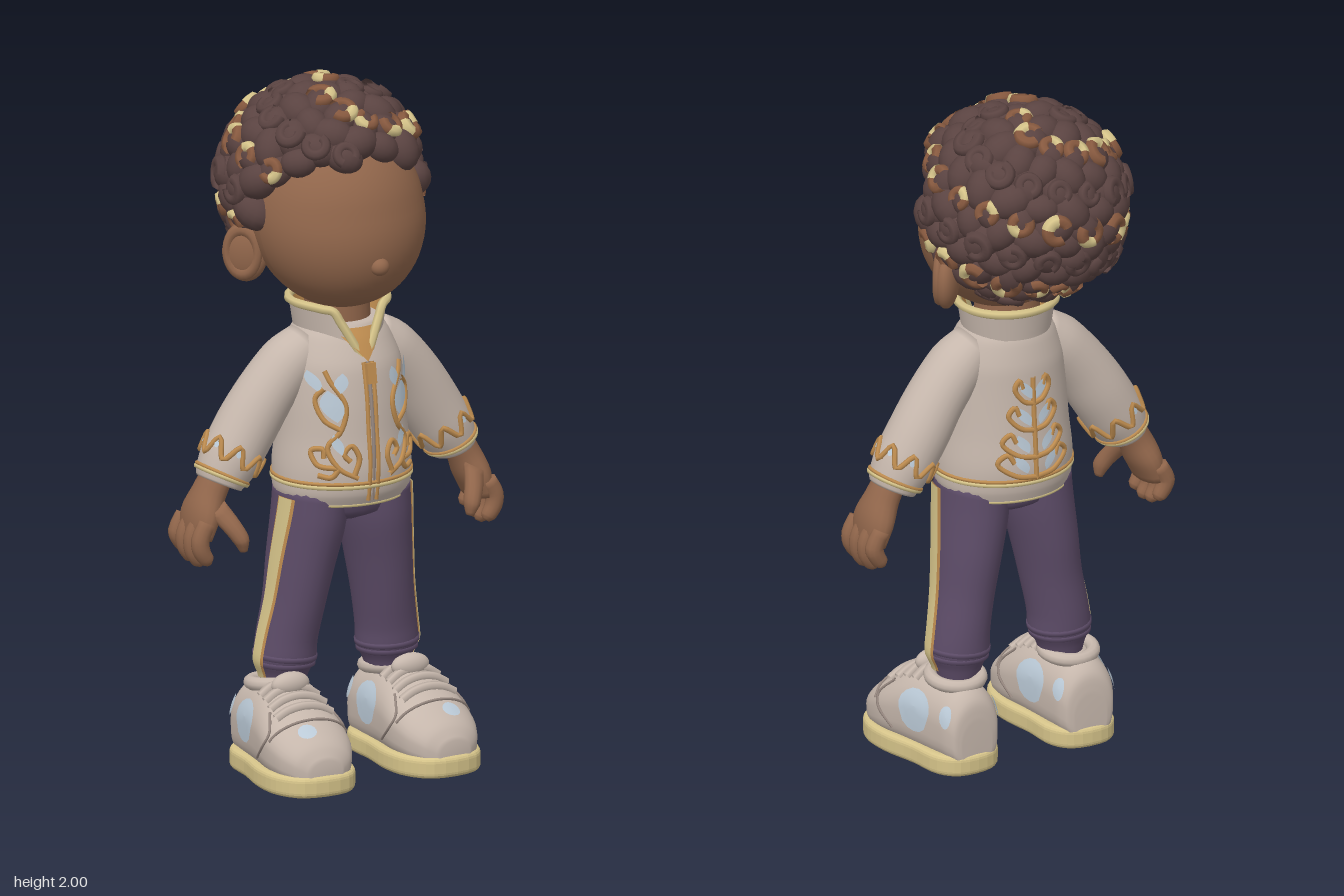
import * as THREE from 'three';
import { mergeGeometries } from 'three/addons/utils/BufferGeometryUtils.js';

const V = (x, y, z) => new THREE.Vector3(x, y, z);
const mat = (name, color) => new THREE.MeshStandardMaterial({ name, color, side: THREE.DoubleSide });

// Grid surface from f(u, v); u wraps round when closed
function grid(f, nu, nv, closed) {
  const pos = [], idx = [], cols = closed ? nu : nu + 1;
  for (let j = 0; j <= nv; j++) for (let i = 0; i < cols; i++) pos.push(...f(i / nu, j / nv, j).toArray());
  for (let j = 0; j < nv; j++) for (let i = 0; i < nu; i++) {
    const a = j * cols + i, b = j * cols + (i + 1) % cols;
    idx.push(a, a + cols, b, b, a + cols, b + cols);
  }
  const g = new THREE.BufferGeometry();
  g.setAttribute('position', new THREE.Float32BufferAttribute(pos, 3));
  g.setIndex(idx);
  g.computeVertexNormals();
  return g;
}
// Limb surface through rings [x, y, z, radius across, radius in z].
// With an axis the sections stay upright to it and their first half is squared off.
function limb(rings, axis) {
  const path = new THREE.CatmullRomCurve3(rings.map(r => V(r[0], r[1], r[2])));
  const rad = new THREE.CatmullRomCurve3(rings.map(r => V(r[3], r[4], 0)));
  return (a, t, off = 0, k = 1) => {
    const c = path.getPoint(t), r = rad.getPoint(t), d = axis || path.getTangent(t).setZ(0).normalize();
    const e = axis && Math.cos(a) > 0 ? 0.6 : 1, round = s => Math.sign(s) * Math.abs(s) ** e;
    const q = (r.x + off) * k * round(Math.cos(a));
    return V(c.x + d.y * q, c.y - d.x * q, c.z + (r.y + off) * k * round(Math.sin(a)));
  };
}
const solid = (P, nt = 24, na = 24) => grid((u, v, j) =>
  P(u * Math.PI * 2, Math.min(1, Math.max(0, (j - 1) / nt)), 0, j === 0 || j === nt + 2 ? 0 : 1), na, nt + 2, true);
const oval = (P, a, t, da, dt, off = 0.004) => grid((u, v) =>
  P(a + da * v * Math.cos(u * Math.PI * 2), t + dt * v * Math.sin(u * Math.PI * 2), off), 16, 3, true);
const cord = (pts, r, closed = false) =>
  new THREE.TubeGeometry(new THREE.CatmullRomCurve3(pts, closed), pts.length * 5, r, 6, closed);
const around = (P, t, off, r, wave = 0, n = 28) => cord(Array.from({ length: n }, (_, i) =>
  P(i / n * Math.PI * 2, t + (i % 2 ? wave : -wave), off)), r, true);
const ball = (x, y, z, sx, sy, sz, n = 24) => new THREE.SphereGeometry(1, n, Math.ceil(n * 0.7)).scale(sx, sy, sz).translate(x, y, z);
function mirrored(g) {
  const m = g.clone().scale(-1, 1, 1), ix = m.index.array;
  for (let i = 0; i < ix.length; i += 3) [ix[i + 1], ix[i + 2]] = [ix[i + 2], ix[i + 1]];
  return m;
}

export function createModel() {
  const model = new THREE.Group();
  model.name = 'curlyHairedFigure';
  const skin = mat('skin', 0x91664b), hair = mat('darkHair', 0x5a4341), copper = mat('copperHair', 0x87593f),
    cream = mat('cream', 0xd6c48a), cloth = mat('paleCloth', 0xc6b7ac), gold = mat('goldThread', 0xbf8d50),
    purple = mat('purpleTrousers', 0x5d4c68), blue = mat('paleBlue', 0xbccbd8), seam = mat('seam', 0x978880);
  const add = (name, g, m) => { const o = new THREE.Mesh(g, m); o.name = name; model.add(o); };
  const pair = (name, g, m) => { add(name + 'Left', g, m); add(name + 'Right', mirrored(g), m); };

  // Head: the jaw is pushed forward
  const head = ball(0, 1.62, 0.03, 0.255, 0.265, 0.25, 48), hp = head.attributes.position;
  for (let i = 0; i < hp.count; i++) hp.setZ(i, hp.getZ(i) + 0.04 * Math.min(1, Math.max(0, (1.66 - hp.getY(i)) / 0.25)));
  head.computeVertexNormals();
  add('head', head, skin);
  add('nose', ball(0, 1.515, 0.281, 0.028, 0.026, 0.026), skin);
  add('neck', new THREE.CylinderGeometry(0.09, 0.1, 0.2, 24).translate(0, 1.33, 0.04), skin);

  // Ears flare outwards towards the back
  pair('ear', ball(0, 0, 0, 0.036, 0.085, 0.068).rotateY(-0.7).translate(0.252, 1.515, -0.045), skin);
  pair('earRim', new THREE.TorusGeometry(0.046, 0.014, 8, 24).scale(1, 1.4, 1).rotateY(Math.PI / 2 - 0.7).translate(0.268, 1.522, -0.033), skin);

  // Hair: a trimmed cap covered with curls
  const line = [[1.38, -0.09], [1.5, -0.09], [1.58, -0.005], [1.66, 0.055], [1.74, 0.07], [1.8, 0.13], [1.83, 0.5], [2.1, 0.5]];
  const hairy = (y, z) => {
    for (let i = 1; i < line.length; i++) if (y < line[i][0]) {
      const [y0, z0] = line[i - 1], [y1, z1] = line[i];
      return z < z0 + (z1 - z0) * (y - y0) / (y1 - y0);
    }
    return true;
  };
  const cap = ball(0, 1.70, -0.045, 0.275, 0.26, 0.275, 56), cp = cap.attributes.position;
  cap.setIndex(Array.from(cap.index.array).filter((_, i, all) => {
    const k = i - i % 3;
    return [0, 1, 2].every(n => hairy(cp.getY(all[k + n]), cp.getZ(all[k + n])));
  }));
  add('hairCap', cap, hair);
  let seed = 7;
  const rnd = () => (seed = (seed * 16807) % 2147483647) / 2147483647;
  const curls = [], patches = [], tips = [], N = 190;
  for (let i = 0; i < N; i++) {
    const y = 1 - 2 * (i + 0.5) / N, a = i * 2.39996, w = Math.sqrt(1 - y * y);
    const n = V(w * Math.sin(a), y, w * Math.cos(a));
    const p = V(n.x * 0.262, 1.70 + n.y * 0.248, -0.043 + n.z * 0.262);
    const r = (p.y < 1.55 ? 0.036 : 0.044) + rnd() * 0.014, roll = rnd() * 6.28;
    if (!hairy(p.y, p.z)) continue;
    if (p.y > 1.8 && n.z > 0.4) p.z += 0.022; // fuller fringe
    const q = new THREE.Quaternion().setFromUnitVectors(V(0, 0, 1), n);
    const set = (g, up) => g.rotateZ(roll).applyQuaternion(q).translate(p.x + n.x * up, p.y + n.y * up, p.z + n.z * up);
    curls.push(set(new THREE.SphereGeometry(r, 14, 10).scale(1.2, 0.95, 0.95), 0));
    if (i % 4 === 1 && p.y > 1.5) {
      patches.push(set(new THREE.TorusGeometry(r * 0.5, r * 0.34, 7, 14, 4.8), r * 0.7));
      tips.push(set(new THREE.TorusGeometry(r * 0.51, r * 0.36, 7, 8, 1.3).rotateZ(1.2), r * 0.72));
    } else if (i % 4 === 3) curls.push(set(new THREE.TorusGeometry(r * 0.55, r * 0.34, 7, 14, 4.6), r * 0.68));
  }
  add('curls', mergeGeometries(curls), hair);
  add('copperCurls', mergeGeometries(patches), copper);
  add('curlHighlights', mergeGeometries(tips), cream);

  // Jacket body
  const body = limb([[0, 0.80, 0.062, 0.19, 0.165], [0, 0.84, 0.065, 0.203, 0.18], [0, 0.90, 0.065, 0.203, 0.185],
    [0, 1.0, 0.065, 0.192, 0.176], [0, 1.1, 0.065, 0.185, 0.168], [0, 1.2, 0.06, 0.175, 0.158],
    [0, 1.28, 0.05, 0.145, 0.132], [0, 1.32, 0.045, 0.115, 0.11]]);
  add('jacketBody', solid(body, 36, 40), cloth);
  const on = (x, y, side = 1, off = 0.002) => { // point on the jacket at a given x and y
    let lo = 0, hi = 1;
    for (let i = 0; i < 24; i++) { const m = (lo + hi) / 2; if (body(0, m).y < y) lo = m; else hi = m; }
    return body(side * Math.acos(Math.max(-1, Math.min(1, x / body(0, lo).x))), lo, off);
  };
  const stitch = (pts, side, r = 0.008) => cord(pts.map(([x, y]) => on(x, y, side)), r);
  const leaf = (x, y, w, h, side, tilt) => grid((u, v) => {
    const a = u * Math.PI * 2, s = w * v * Math.cos(a) * Math.abs(Math.cos(a)), c = h * v * Math.sin(a);
    return on(x + s + c * tilt, y + c, side, 0.007);
  }, 20, 3, true);
  add('hemBand', around(body, 0.2, -0.001, 0.007), cream);
  add('hemCord', around(body, 0.225, -0.001, 0.006), gold);
  add('hemEdge', around(body, 0.02, -0.004, 0.006), cream);

  // Front opening, zip and throat
  for (const s of [-1, 1]) add('zipEdge', stitch([0.82, 0.92, 1.02, 1.12, 1.22].map(y => [s * 0.013, y]), 1, 0.007), gold);
  add('zipTeeth', stitch([[0, 0.82], [0, 0.95], [0, 1.1], [0, 1.22]], 1, 0.006), seam);
  add('zipPull', new THREE.BoxGeometry(0.028, 0.06, 0.014).rotateX(-0.15).translate(0, 1.19, 0.232), gold);
  add('throatLining', grid((u, v) => on((u - 0.5) * 0.15 * v, 1.22 + 0.09 * v, 1, 0.006), 8, 8, false), gold);

  // Standing collar, open at the front
  const collar = (u, v) => {
    const a0 = 0.08 + 0.52 * v, a = a0 + (Math.PI * 2 - 2 * a0) * u, f = Math.max(0, Math.cos(a)) ** 4;
    return V(Math.sin(a) * (0.128 + 0.014 * v), 1.29 - 0.06 * f + v * (0.085 + 0.035 * f), 0.045 + Math.cos(a) * (0.126 + 0.022 * f * (1 - v) + 0.01 * v));
  };
  add('collar', grid(collar, 48, 6, false), cloth);
  add('collarLining', grid((u, v) => collar(u, v).multiply(V(0.95, 1, 0.95)), 48, 6, false), gold);
  const rim = [];
  for (let v = 0; v < 1; v += 0.25) rim.push(collar(0, v));
  for (let i = 0; i <= 24; i++) rim.push(collar(i / 24, 1));
  for (let v = 0.75; v >= 0; v -= 0.25) rim.push(collar(1, v));
  add('collarTrim', cord(rim, 0.013), cream);

  // Embroidery: scrolling stems and leaves
  const stems = [[[0.05, 0.89], [0.10, 0.92], [0.125, 0.98], [0.09, 1.03], [0.075, 1.1], [0.11, 1.17], [0.12, 1.2]],
    [[0.10, 0.92], [0.15, 0.93], [0.16, 0.97], [0.135, 0.975], [0.135, 0.95]],
    [[0.06, 0.9], [0.045, 0.95], [0.065, 0.985], [0.085, 0.96], [0.07, 0.94]],
    [[0.09, 1.03], [0.13, 1.06], [0.145, 1.12], [0.125, 1.15]], [[0.1, 0.92], [0.12, 0.895], [0.15, 0.9]]];
  for (const s of stems) pair('frontStem', stitch(s, 1), gold);
  for (const [x, y, w, h, k] of [[0.107, 1.1, 0.028, 0.046, 0.2], [0.083, 1.165, 0.018, 0.03, -0.2], [0.143, 1.17, 0.014, 0.03, 0.3], [0.1, 0.99, 0.014, 0.03, 0.3]])
    pair('frontLeaf', leaf(x, y, w, h, 1, k), blue);
  add('backStem', stitch([[0, 0.88], [0, 0.98], [0, 1.08], [0, 1.18]], -1), gold);
  for (const [y, w] of [[0.88, 0.11], [0.94, 0.095], [1.02, 0.075], [1.1, 0.055]]) {
    pair('backBranch', stitch([[0, y], [w * 0.55, y + 0.01], [w, y + 0.05], [w * 0.75, y + 0.075], [w * 0.6, y + 0.05]], -1), gold);
    pair('backLeaf', leaf(w * 0.4, y + 0.045, 0.017, 0.028, -1, 0.5), blue);
  }

  // Sleeves, from cuff to shoulder
  const sleeve = limb([[0.385, 0.875, 0.035, 0.066, 0.074], [0.374, 0.9, 0.035, 0.077, 0.082], [0.345, 0.95, 0.035, 0.088, 0.09],
    [0.295, 1.03, 0.035, 0.09, 0.09], [0.235, 1.12, 0.04, 0.086, 0.087], [0.165, 1.2, 0.045, 0.083, 0.085], [0.10, 1.255, 0.048, 0.065, 0.07]]);
  pair('sleeve', solid(sleeve), cloth);
  pair('cuffBand', around(sleeve, 0.14, 0, 0.008), cream);
  pair('cuffCord', around(sleeve, 0.17, 0, 0.006), gold);
  pair('sleeveScroll', around(sleeve, 0.33, 0.002, 0.008, 0.06, 16), gold);
  for (const a of [-1.2, -0.4, 0.4, 1.2]) pair('sleeveLeaf', oval(sleeve, a, 0.36, 0.1, 0.03), blue);

  // Hands
  pair('palm', solid(limb([[0.39, 0.9, 0.035, 0.045, 0.05], [0.418, 0.85, 0.035, 0.047, 0.058], [0.445, 0.79, 0.035, 0.047, 0.08], [0.463, 0.73, 0.035, 0.033, 0.078]]), 12, 18), skin);
  for (let i = 0; i < 4; i++) {
    const z = -0.03 + i * 0.043, l = [0.025, 0.005, 0, 0.012][i];
    pair('finger', solid(limb([[0.46, 0.78, z, 0.026, 0.022], [0.483, 0.735, z, 0.027, 0.025], [0.48, 0.69 + l, z, 0.026, 0.025],
      [0.462, 0.66 + l, z, 0.022, 0.021], [0.455, 0.648 + l, z, 0.01, 0.01]]), 12, 12), skin);
  }
  pair('thumb', solid(limb([[0.425, 0.82, 0.08, 0.033, 0.035], [0.40, 0.775, 0.125, 0.028, 0.03], [0.38, 0.735, 0.148, 0.024, 0.028], [0.372, 0.7, 0.152, 0.011, 0.014]]), 12, 12), skin);

  // Trousers with side stripes
  add('trouserSeat', solid(limb([[0, 0.735, 0.06, 0.05, 0.06], [0, 0.765, 0.065, 0.15, 0.12], [0, 0.84, 0.065, 0.19, 0.142]]), 12), purple);
  const leg = limb([[0.172, 0.25, 0.03, 0.06, 0.062], [0.17, 0.29, 0.03, 0.072, 0.072], [0.168, 0.335, 0.033, 0.09, 0.092], [0.163, 0.39, 0.035, 0.087, 0.095],
    [0.145, 0.5, 0.045, 0.086, 0.105], [0.127, 0.62, 0.052, 0.092, 0.12], [0.108, 0.74, 0.062, 0.099, 0.132], [0.1, 0.83, 0.065, 0.1, 0.135]]);
  pair('trouserLeg', solid(leg, 32), purple);
  const stripe = (half, off) => grid((u, v) => leg((u - 0.5) * 2 * half + 0.06 + 0.2 * v * v, 0.1 + 0.87 * v, off), 6, 24, false);
  pair('stripeEdge', stripe(0.26, 0.005), gold);
  pair('stripe', stripe(0.19, 0.009), cream);
  for (const t of [0.24, 0.3]) pair('ankleFold', around(leg, t, -0.008, 0.012), purple);

  // Shoes: lofted along their length, then turned to face forward
  const place = g => g.rotateY(-Math.PI / 2 + 0.05).translate(0.194, 0, 0);
  const shoe = limb([[-0.108, 0.16, 0.05], [-0.1, 0.215, 0.075], [-0.07, 0.25, 0.09], [-0.01, 0.265, 0.1], [0.06, 0.275, 0.11], [0.13, 0.265, 0.12],
    [0.2, 0.23, 0.128], [0.27, 0.185, 0.118], [0.32, 0.145, 0.09], [0.345, 0.105, 0.05]]
    .map(([z, h, w]) => [z, (0.03 + h) / 2, 0, (h - 0.03) / 2, w]), V(1, 0, 0));
  pair('shoeUpper', place(solid(shoe, 36, 32)), cloth);
  const half = [[0.05, -0.095], [0.09, -0.05], [0.102, 0.06], [0.122, 0.18], [0.113, 0.27], [0.065, 0.333]];
  const outline = [...half, ...half.slice().reverse().map(([x, z]) => [-x, z])].map(([x, z]) => V(x, z, 0));
  const soleShape = new THREE.Shape(new THREE.CatmullRomCurve3(outline, true).getPoints(48).map(p => new THREE.Vector2(p.x, p.y)));
  const sole = new THREE.ExtrudeGeometry(soleShape, { depth: 0.03, bevelThickness: 0.016, bevelSize: 0.014, bevelSegments: 4 })
    .rotateX(Math.PI / 2).rotateY(0.05).translate(0.194, 0.046, 0);
  sole.setIndex(Array.from({ length: sole.attributes.position.count }, (_, i) => i));
  pair('shoeSole', sole, cream);
  const onShoe = list => list.map(([a, t]) => shoe(a, t, 0.002));
  for (const t of [0.49, 0.55, 0.61, 0.67])
    pair('lace', place(cord(onShoe([-0.75, -0.4, 0, 0.4, 0.75].map(a => [Math.PI + a, t])), 0.014)), cloth);
  pair('shoeTongue', ball(0.197, 0.275, 0.115, 0.06, 0.035, 0.03), cloth);
  pair('shoeCollar', new THREE.TorusGeometry(0.072, 0.02, 10, 28).rotateX(Math.PI / 2 - 0.12).translate(0.187, 0.26, 0.015), cloth);
  for (const s of [-1, 1]) {
    pair('sidePanel', place(oval(shoe, s * 1.78, 0.43, 0.42, 0.1, 0.005)), blue);
    pair('heelPanel', place(oval(shoe, s * 1.95, 0.21, 0.3, 0.05, 0.005)), blue);
    pair('sideSeam', place(cord(onShoe([[s * 2.35, 0.62], [s * 2, 0.69], [s * 1.6, 0.67], [s * 1.2, 0.58]]), 0.004)), seam);
  }
  pair('toePanel', place(oval(shoe, Math.PI + 0.25, 0.8, 0.25, 0.04)), blue);
  pair('toeSeam', place(cord(onShoe([-1.3, -0.9, -0.45, 0, 0.45, 0.9, 1.3].map(a => [Math.PI + a, 0.74 - 0.02 * a * a])), 0.004)), seam);
  return model;
}
